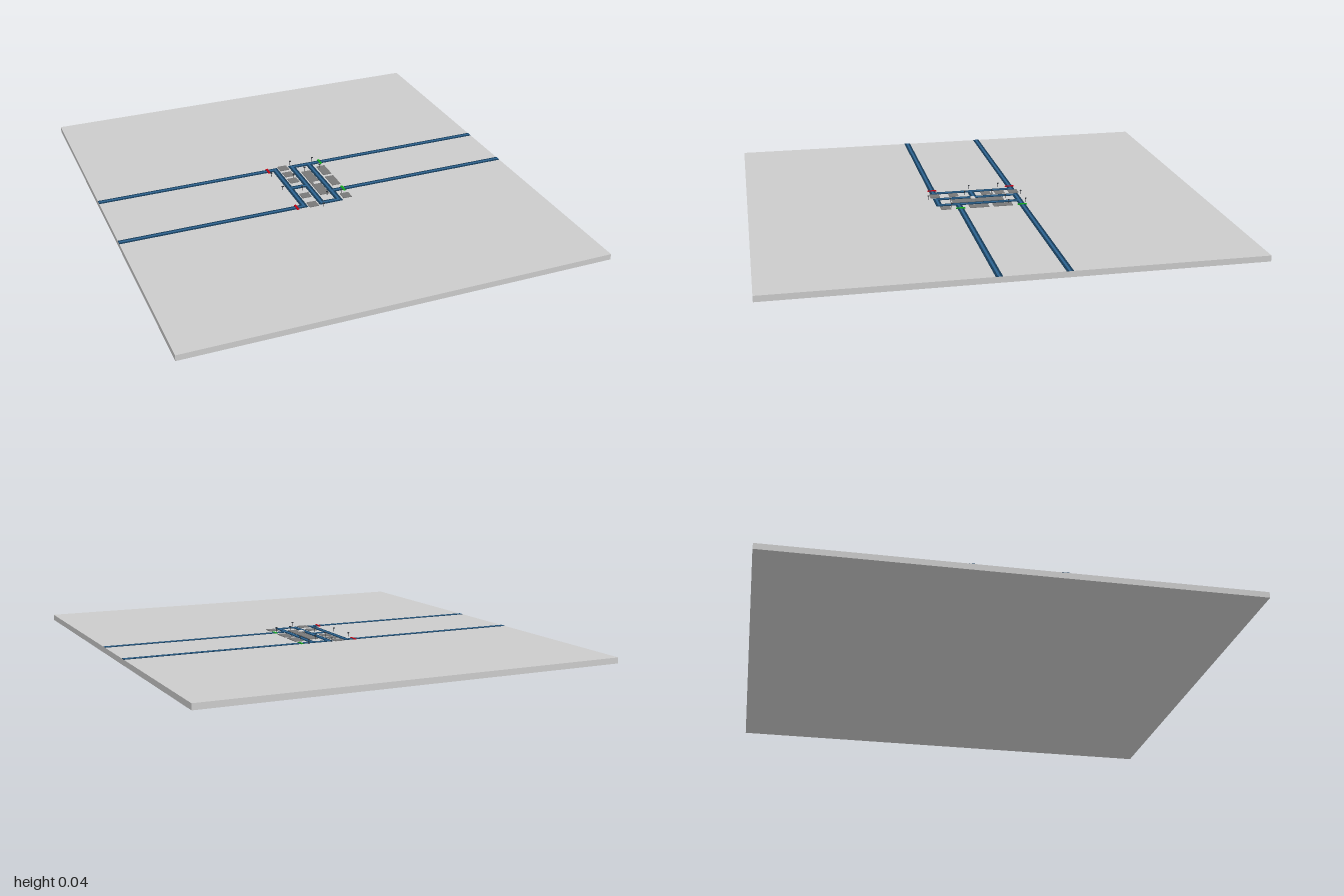
import * as THREE from 'three';

const mat = (color) => new THREE.MeshStandardMaterial({ color });

export function createModel() {
  const model = new THREE.Group();
  const grey = mat(0xcccccc), edge = mat(0x163a57), lane = mat(0x2c628f);
  const paving = mat(0x777777), dark = mat(0x30343a), red = mat(0xc00010), green = mat(0x10a818);
  const TOP = 0.025;

  // box spanning x0..x1, z0..z1, standing at height y
  function block(name, m, x0, x1, z0, z1, y, h, parent = model) {
    const mesh = new THREE.Mesh(new THREE.BoxGeometry(x1 - x0, h, z1 - z0), m);
    mesh.position.set((x0 + x1) / 2, y + h / 2, (z0 + z1) / 2);
    mesh.name = name;
    parent.add(mesh);
  }

  block('groundSlab', grey, -0.91, 0.91, -1, 1, 0, TOP);

  // roads: dark bed with a lighter centre strip, [x0, x1, z0, z1] of the centre line
  const half = 0.014, strip = 0.005;
  const roads = [
    [-0.91, -0.093, -0.185, -0.185], [-0.91, -0.093, 0.175, 0.175],
    [-0.011, 0.91, -0.185, -0.185], [0.07, 0.91, 0.09, 0.09],
    [-0.093, -0.093, -0.185, 0.175], [-0.011, -0.011, -0.185, 0.175],
    [0.07, 0.07, -0.185, 0.175], [-0.011, 0.07, 0.175, 0.175],
    [-0.093, -0.011, 0.005, 0.005],
  ];
  const network = new THREE.Group();
  network.name = 'roadNetwork';
  model.add(network);
  for (const [x0, x1, z0, z1] of roads) {
    const grow = (w) => [
      Math.max(x0 - w, -0.91), Math.min(x1 + w, 0.91), z0 - w, z1 + w,
    ];
    block('roadBed', edge, ...grow(half), TOP, 0.0012, network);
    block('roadCentre', lane, ...grow(strip), TOP + 0.0012, 0.0006, network);
  }

  // paved plots between the roads
  const columns = [
    [-0.074, -0.032, [[-0.206, -0.164], [-0.143, -0.1], [-0.08, -0.037], [0.069, 0.11], [0.153, 0.196]]],
    [0.01, 0.053, [[-0.12, 0.11]]],
    [0.093, 0.132, [[-0.143, -0.058], [-0.037, 0.048], [0.132, 0.175]]],
  ];
  for (const [x0, x1, spans] of columns)
    for (const [z0, z1] of spans) block('plot', paving, x0, x1, z0, z1, TOP, 0.003);

  // entry and exit bars across the roads
  for (const [x, z, m, name] of [
    [-0.128, -0.185, red, 'entryBar'], [-0.128, 0.175, red, 'entryBar'],
    [0.126, -0.185, green, 'exitBar'], [0.126, 0.09, green, 'exitBar'],
  ]) block(name, m, x - 0.005, x + 0.005, z - 0.02, z + 0.02, TOP, 0.0035);

  // lamp posts
  const poleGeo = new THREE.CylinderGeometry(0.001, 0.0014, 0.017, 8);
  const headGeo = new THREE.BoxGeometry(0.008, 0.0035, 0.006);
  for (const [x, z] of [
    [-0.011, -0.21], [0.097, -0.208], [-0.13, -0.132], [-0.04, -0.085], [0.03, -0.13],
    [0.103, -0.13], [-0.127, 0.005], [-0.048, 0.038], [-0.016, 0.21], [0.037, 0.12], [0.103, 0.125],
  ]) {
    const lamp = new THREE.Group();
    lamp.name = 'lampPost';
    const pole = new THREE.Mesh(poleGeo, dark);
    pole.position.y = 0.0085;
    pole.name = 'pole';
    const head = new THREE.Mesh(headGeo, dark);
    head.position.y = 0.0175;
    head.name = 'lampHead';
    lamp.add(pole, head);
    lamp.position.set(x, TOP, z);
    model.add(lamp);
  }

  // small open shelter on the central plot: four posts and a hipped roof
  const shelter = new THREE.Group();
  shelter.name = 'shelter';
  for (const sx of [-1, 1])
    for (const sz of [-1, 1])
      block('shelterPost', paving, sx * 0.013 - 0.001, sx * 0.013 + 0.001,
        sz * 0.008 - 0.001, sz * 0.008 + 0.001, 0, 0.01, shelter);
  const roof = new THREE.Mesh(
    new THREE.CylinderGeometry(0.008, 0.022, 0.005, 4).rotateY(Math.PI / 4).scale(1, 1, 0.65), grey);
  roof.position.y = 0.0125;
  roof.name = 'shelterRoof';
  shelter.add(roof);
  shelter.position.set(0.03, TOP + 0.003, 0.017);
  model.add(shelter);

  return model;
}
